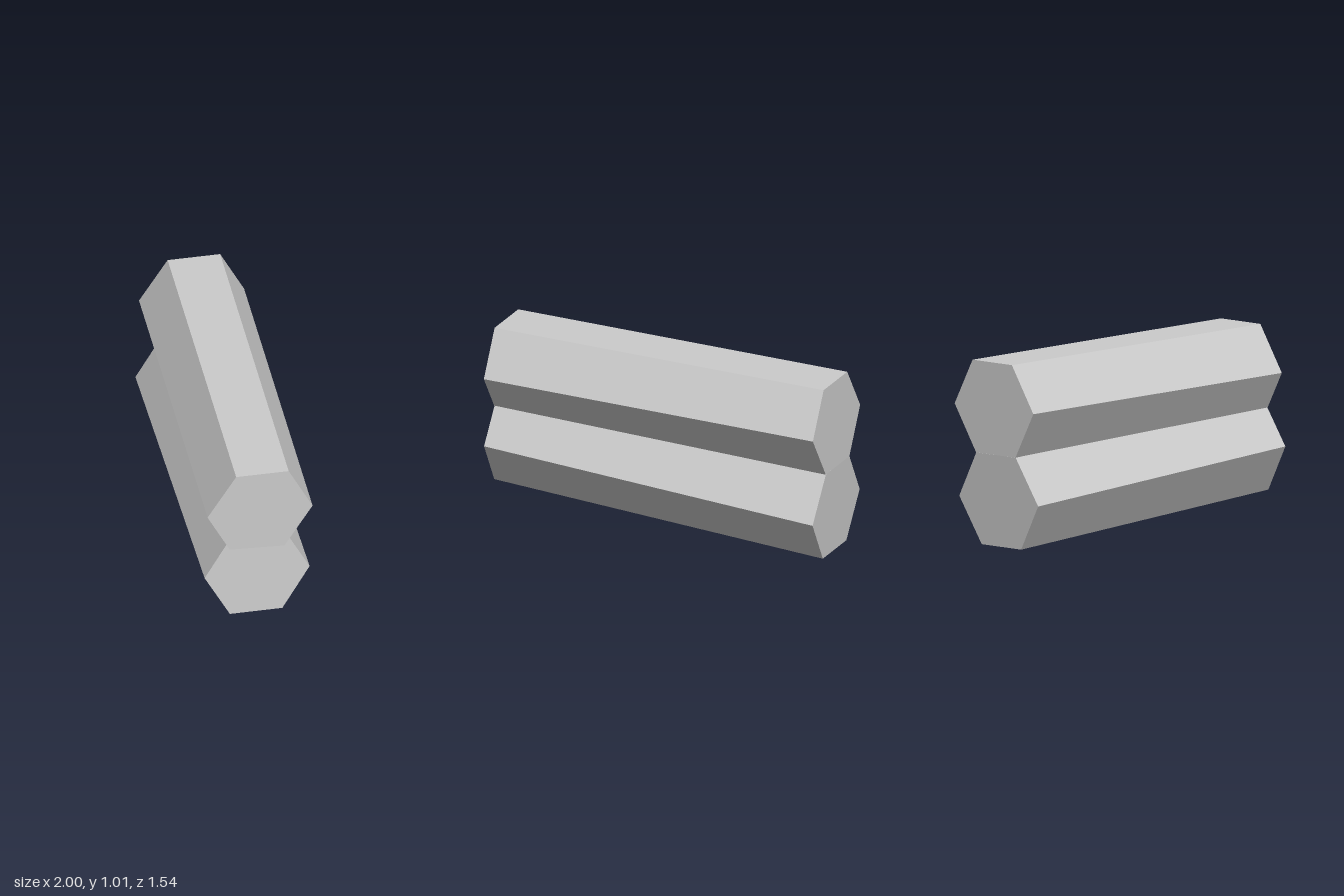
import * as THREE from 'three';

const material = new THREE.MeshStandardMaterial({ color: 0xcccccc, flatShading: true });

// Hexagonal bar running from one end centre to the other, with a slight sideways lean
function hexBar(name, back, front, lean) {
  const r = 0.289, h = 0.252;
  const outline = [
    [r, 0], [r / 2 + lean, h], [-r / 2 + lean, h],
    [-r, 0], [-r / 2 - lean, -h], [r / 2 - lean, -h],
  ].map(([x, y]) => new THREE.Vector2(x, y));
  const geometry = new THREE.ExtrudeGeometry(new THREE.Shape(outline), {
    depth: back.distanceTo(front), bevelEnabled: false,
  });
  const bar = new THREE.Mesh(geometry, material);
  bar.name = name;
  bar.position.copy(back);
  bar.lookAt(front);
  return bar;
}

export function createModel() {
  const model = new THREE.Group();
  model.name = 'stackedBars';
  // Level bar on top
  model.add(hexBar('upperBar',
    new THREE.Vector3(-0.852, 0.757, -0.517), new THREE.Vector3(0.847, 0.757, 0.505), 0.013));
  // Bar below, rising gently towards the front and sinking into the upper one
  model.add(hexBar('lowerBar',
    new THREE.Vector3(-0.852, 0.253, -0.491), new THREE.Vector3(0.845, 0.356, 0.5245), 0.008));
  return model;
}
